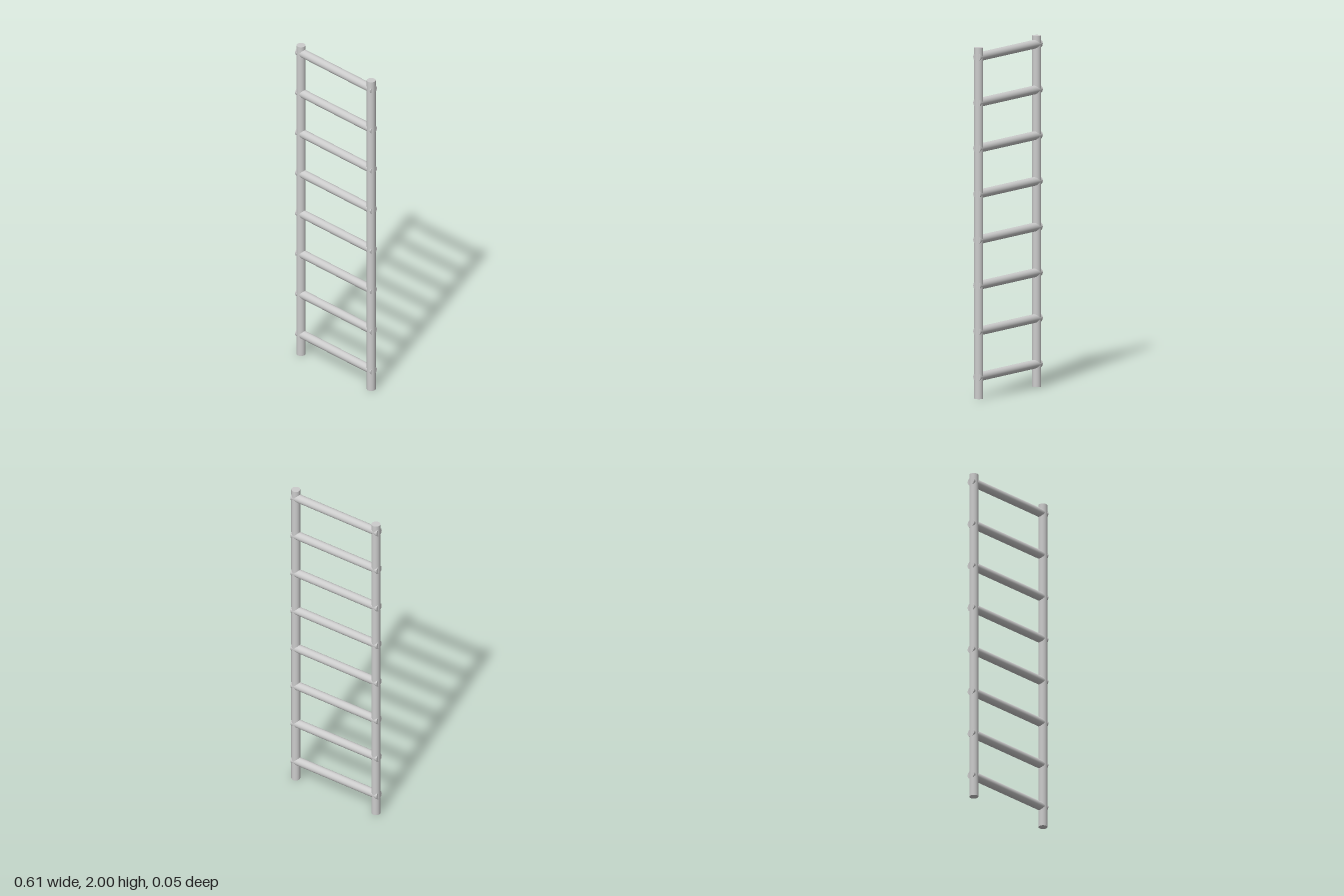
import * as THREE from 'three';

export function createModel() {
  const group = new THREE.Group();
  const material = new THREE.MeshStandardMaterial({ color: 0xcccccc });

  // Upright rails
  const railGeometry = new THREE.CylinderGeometry(0.0255, 0.0255, 2, 32);
  for (const side of [-1, 1]) {
    const rail = new THREE.Mesh(railGeometry, material);
    rail.name = side > 0 ? 'leftRail' : 'rightRail';
    rail.position.set(side * 0.281, 1, 0);
    group.add(rail);
  }

  // Evenly spaced rungs, dipping slightly toward +x, ends poking through the rails
  const rungGeometry = new THREE.CylinderGeometry(0.025, 0.025, 0.605, 32);
  rungGeometry.rotateZ(Math.PI / 2);
  for (let i = 0; i < 8; i++) {
    const rung = new THREE.Mesh(rungGeometry, material);
    rung.name = `rung${i + 1}`;
    rung.position.set(-0.002, 0.127 + i * 0.2604, -0.001);
    rung.rotation.z = -0.011;
    group.add(rung);
  }
  return group;
}
